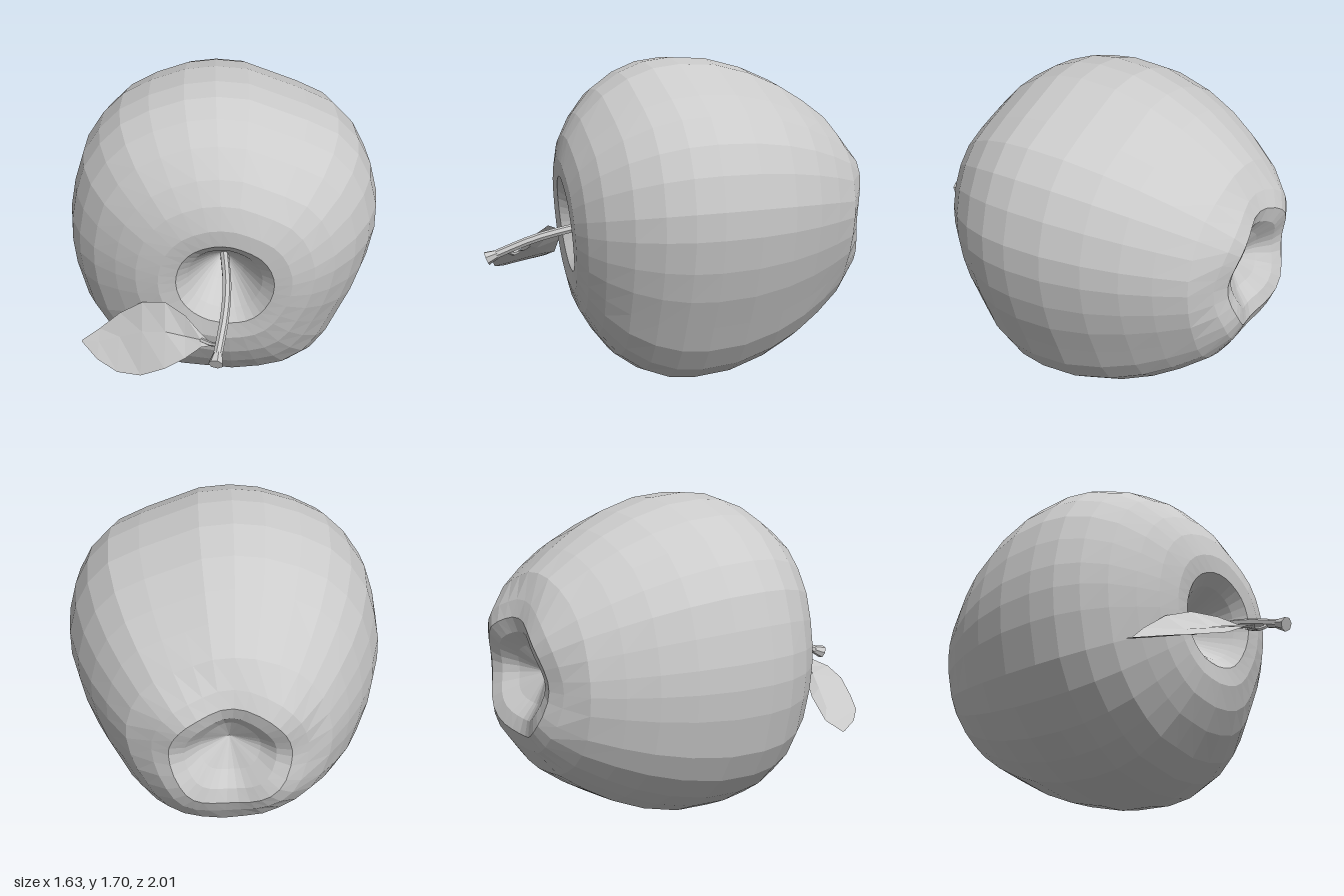
import * as THREE from 'three';

const material = new THREE.MeshStandardMaterial({ color: 0xcccccc, flatShading: true });
const thinMaterial = new THREE.MeshStandardMaterial({ color: 0xcccccc, flatShading: true, side: THREE.DoubleSide });

// Skin a list of equal-length rows of points with quads
function loft(rows, closed) {
  const n = rows[0].length, index = [];
  for (let i = 0; i < rows.length - 1; i++) {
    for (let j = 0; j < (closed ? n : n - 1); j++) {
      const k = (j + 1) % n;
      const a = i * n + j, b = i * n + k, c = a + n, d = b + n;
      index.push(a, b, c, b, d, c);
    }
  }
  const geometry = new THREE.BufferGeometry();
  geometry.setAttribute('position', new THREE.Float32BufferAttribute(rows.flat(2), 3));
  geometry.setIndex(index);
  geometry.computeVertexNormals();
  return geometry;
}

function add(group, name, geometry, mat = material) {
  const mesh = new THREE.Mesh(geometry, mat);
  mesh.name = name;
  group.add(mesh);
  return mesh;
}

const CENTER_Y = 0.85;

// Widest outline of the fruit, clockwise from the top (x, y)
const OUTLINE = [
  [-0.04, 1.697], [0.13, 1.68], [0.28, 1.62], [0.43, 1.56], [0.59, 1.48], [0.70, 1.36],
  [0.77, 1.22], [0.812, 1.05], [0.812, 0.91], [0.78, 0.74], [0.73, 0.58], [0.66, 0.42],
  [0.60, 0.28], [0.51, 0.15], [0.38, 0.06], [0.23, 0.02], [0.05, 0.0], [-0.12, 0.02],
  [-0.28, 0.04], [-0.42, 0.11], [-0.55, 0.20], [-0.67, 0.33], [-0.75, 0.48], [-0.80, 0.69],
  [-0.815, 0.84], [-0.81, 0.97], [-0.78, 1.13], [-0.73, 1.29], [-0.64, 1.43], [-0.53, 1.54],
  [-0.38, 1.62], [-0.20, 1.68],
];

// Fraction of the outline and depth z, from stem hollow to rear hollow
const PROFILE = [
  [0, 0.28], [0.12, 0.4], [0.23, 0.53], [0.3, 0.585], [0.41, 0.59], [0.55, 0.555], [0.68, 0.49],
  [0.82, 0.39], [0.92, 0.27], [0.98, 0.14], [1, 0], [0.985, -0.2], [0.92, -0.4], [0.83, -0.57],
  [0.73, -0.71], [0.61, -0.85], [0.46, -0.945], [0.36, -0.98], [0.27, -0.955], [0.18, -0.89], [0, -0.8],
];

function fruitGeometry() {
  const rows = PROFILE.map(([f, z]) => OUTLINE.map(([px, py]) => {
    const dx = px, dy = py - CENTER_Y;
    const angle = Math.atan2(dy, dx);
    // Small rings become rounder
    const radius = THREE.MathUtils.lerp(0.83, Math.hypot(dx, dy), Math.min(1, f * 1.3));
    let depth = z;
    const fade = Math.min(1, f * 4) * Math.min(1, (1 - f) * 3);
    // The stem shoulder leans, the rear rim has four lobes
    if (z > 0) depth += fade * (0.028 * Math.cos(angle) + 0.025 * Math.sin(angle));
    else if (f < 0.5) depth += 0.02 * Math.cos(4 * angle) * Math.min(1, f * 3);
    return [f * radius * Math.cos(angle), CENTER_Y + f * radius * Math.sin(angle), depth];
  }));
  return loft(rows, true);
}

// Leaf sections: x, then [y, z] of back edge, midrib and front edge
const LEAF = [
  [-0.07, [0.69, 0.845], [0.685, 0.85], [0.685, 0.855]],
  [-0.12, [0.71, 0.79], [0.69, 0.815], [0.68, 0.86]],
  [-0.20, [0.755, 0.70], [0.67, 0.76], [0.65, 0.91]],
  [-0.30, [0.77, 0.61], [0.66, 0.71], [0.60, 0.925]],
  [-0.42, [0.72, 0.54], [0.615, 0.65], [0.53, 0.89]],
  [-0.54, [0.62, 0.495], [0.545, 0.60], [0.495, 0.82]],
  [-0.65, [0.52, 0.495], [0.50, 0.58], [0.48, 0.70]],
  [-0.74, [0.476, 0.535], [0.475, 0.54], [0.475, 0.55]],
];

export function createModel() {
  const model = new THREE.Group();
  model.name = 'apple';

  add(model, 'fruit', fruitGeometry());

  // Curved stem with a flared cut end
  const v = (x, y, z) => new THREE.Vector3(x, y, z);
  const stemCurve = new THREE.CatmullRomCurve3([
    v(0, 0.85, 0.28), v(0.01, 0.825, 0.55), v(-0.005, 0.78, 0.76), v(-0.04, 0.705, 0.95),
  ]);
  add(model, 'stem', new THREE.TubeGeometry(stemCurve, 8, 0.023, 7));
  const tip = add(model, 'stemTip', new THREE.CylinderGeometry(0.037, 0.023, 0.06, 7));
  const direction = stemCurve.getTangent(1);
  tip.position.copy(stemCurve.getPoint(1)).addScaledVector(direction, 0.024);
  tip.quaternion.setFromUnitVectors(v(0, 1, 0), direction);

  // Folded leaf on a short stalk
  const leaf = new THREE.Group();
  leaf.name = 'leaf';
  add(leaf, 'leafBlade', loft(LEAF.map(([x, ...edge]) => edge.map(([y, z]) => [x, y, z])), false), thinMaterial);
  const stalkCurve = new THREE.CatmullRomCurve3([v(-0.03, 0.725, 0.89), v(-0.06, 0.695, 0.86), v(-0.12, 0.69, 0.815)]);
  add(leaf, 'leafStalk', new THREE.TubeGeometry(stalkCurve, 4, 0.011, 5), thinMaterial);
  model.add(leaf);

  return model;
}
